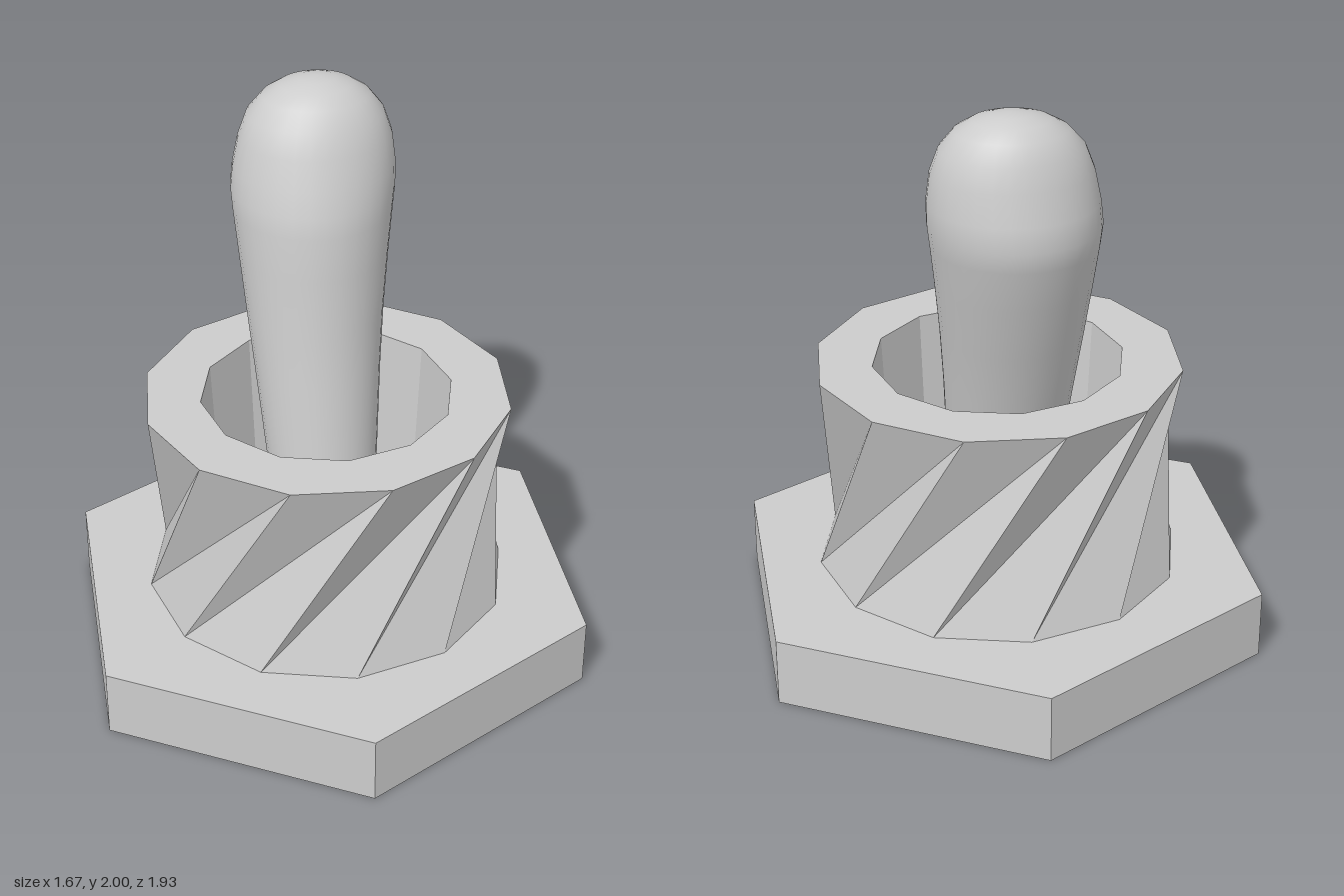
import * as THREE from 'three';

const flat = () => new THREE.MeshStandardMaterial({ color: 0xcccccc, flatShading: true });
const smooth = () => new THREE.MeshStandardMaterial({ color: 0xcccccc });

function named(name, geometry, material) {
  const mesh = new THREE.Mesh(geometry, material);
  mesh.name = name;
  return mesh;
}

// Point on a circle, angle in degrees measured from +z towards +x
function polar(deg, r, y) {
  const a = THREE.MathUtils.degToRad(deg);
  return [Math.sin(a) * r, y, Math.cos(a) * r];
}

// Twelve-sided twisted collar with a tapering bore
function collarGeometry(y0, y1) {
  const R = 0.635, step = 30, pos = [];
  const tri = (...corners) => corners.forEach((c) => pos.push(...c));
  for (let a = 0; a < 360; a += step) {
    const b = a + step;
    // outer wall: each bottom corner joins the top corners 40 and 70 degrees on
    tri(polar(a, R, y0), polar(b, R, y0), polar(a + 70, R, y1));
    tri(polar(a, R, y0), polar(a + 70, R, y1), polar(a + 40, R, y1));
    // flat rim
    const o0 = polar(a + 10, R, y1), o1 = polar(b + 10, R, y1);
    const i0 = polar(a, 0.435, y1), i1 = polar(b, 0.435, y1);
    tri(i0, o0, o1);
    tri(i0, o1, i1);
    // bore wall, facing inwards
    const f0 = polar(a, 0.395, y0), f1 = polar(b, 0.395, y0);
    tri(f0, i0, i1);
    tri(f0, i1, f1);
  }
  const g = new THREE.BufferGeometry();
  g.setAttribute('position', new THREE.Float32BufferAttribute(pos, 3));
  g.computeVertexNormals();
  return g;
}

// Lever lofted through horizontal elliptical rings
function leverGeometry() {
  // y, centre x, centre z, radius x, radius z
  const rings = [
    [0.24, 0, 0, 0.165, 0.168],
    [0.62, 0, -0.09, 0.19, 0.195],
    [1.0, -0.003, -0.185, 0.22, 0.223],
    [1.2, -0.003, -0.236, 0.238, 0.24],
    [1.4, 0, -0.283, 0.258, 0.263],
    [1.55, 0.003, -0.315, 0.274, 0.277],
    [1.62, 0.006, -0.331, 0.281, 0.276],
    [1.7, 0.012, -0.338, 0.278, 0.255],
    [1.8, 0.017, -0.342, 0.262, 0.222],
    [1.88, 0.019, -0.35, 0.233, 0.195],
    [1.94, 0.022, -0.355, 0.183, 0.152],
    [1.975, 0.024, -0.36, 0.125, 0.105],
    [1.993, 0.026, -0.362, 0.065, 0.055],
  ];
  const n = 32, pos = [], index = [];
  for (const [y, cx, cz, rx, rz] of rings) {
    for (let i = 0; i < n; i++) {
      const a = (i / n) * Math.PI * 2;
      pos.push(cx + Math.sin(a) * rx, y, cz + Math.cos(a) * rz);
    }
  }
  pos.push(0.027, 2, -0.363);
  const last = rings.length - 1, tip = rings.length * n;
  for (let i = 0; i < n; i++) {
    const j = (i + 1) % n;
    for (let r = 0; r < last; r++) {
      const a = r * n + i, b = r * n + j;
      index.push(a, b, b + n, a, b + n, a + n);
    }
    index.push(last * n + i, last * n + j, tip);
  }
  const g = new THREE.BufferGeometry();
  g.setAttribute('position', new THREE.Float32BufferAttribute(pos, 3));
  g.setIndex(index);
  g.computeVertexNormals();
  return g;
}

export function createModel() {
  const model = new THREE.Group();
  model.name = 'toggleSwitch';

  // Hexagonal nut, corners pointing front and back
  const nutHeight = 0.24;
  const nut = named('hexBase', new THREE.CylinderGeometry(0.965, 0.965, nutHeight, 6), flat());
  nut.position.y = nutHeight / 2;

  model.add(
    nut,
    named('twistedCollar', collarGeometry(nutHeight, 0.99), flat()),
    named('lever', leverGeometry(), smooth())
  );
  return model;
}
